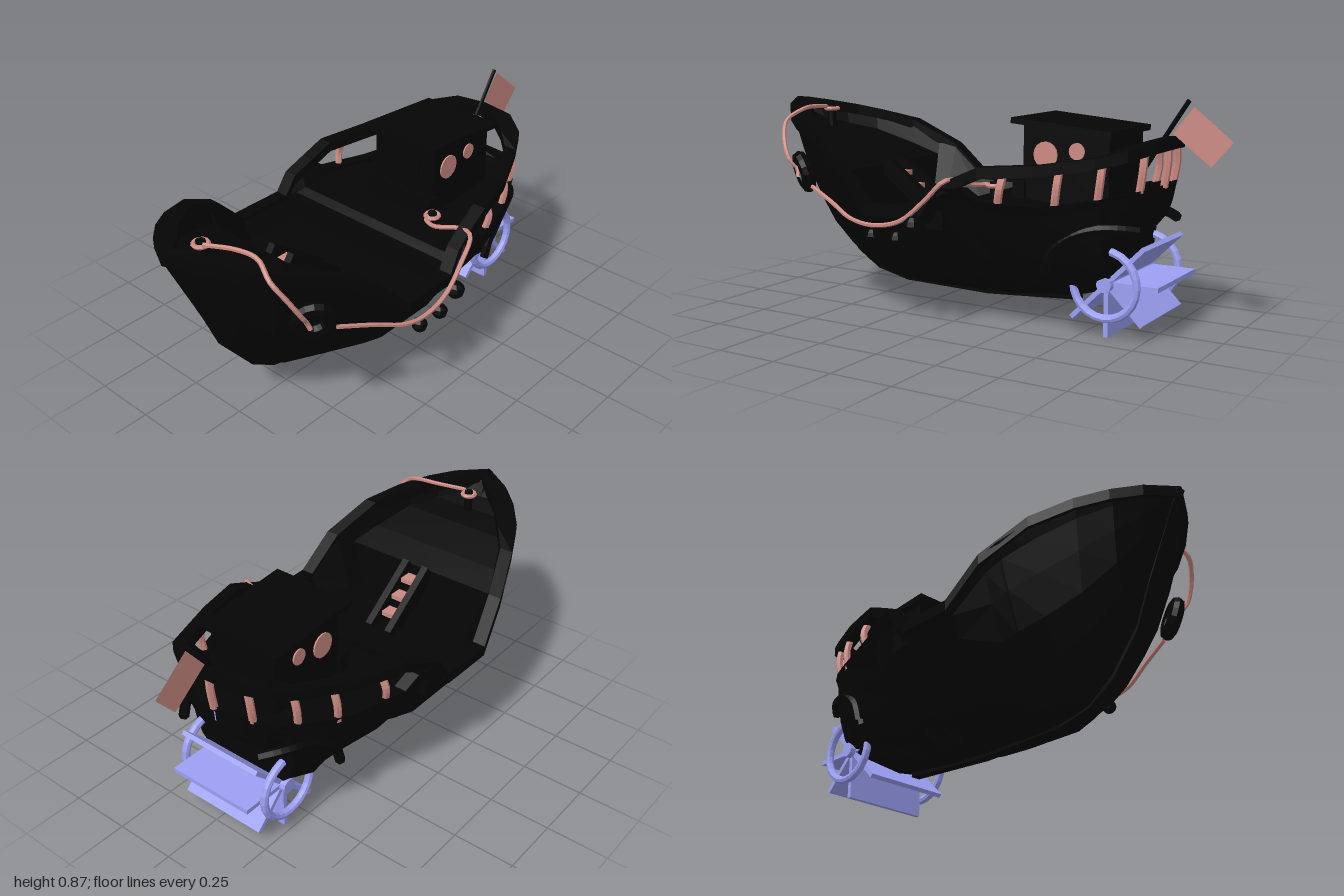
import * as THREE from 'three';

const mat = (color) => new THREE.MeshStandardMaterial({ color, flatShading: true, side: THREE.DoubleSide });
const V = (x, y, z) => new THREE.Vector3(x, y, z);
const lerp = THREE.MathUtils.lerp;

// Skin a list of equal-length cross-section loops
function loft(rings, closed = false) {
  const n = rings[0].length, pos = [], idx = [];
  rings.forEach((r) => r.forEach((p) => pos.push(p.x, p.y, p.z)));
  const spans = closed ? rings.length : rings.length - 1;
  for (let i = 0; i < spans; i++) {
    for (let j = 0; j < n; j++) {
      const a = i * n + j, b = i * n + (j + 1) % n;
      const k = ((i + 1) % rings.length) * n;
      const c = k + j, d = k + (j + 1) % n;
      idx.push(a, b, c, b, d, c);
    }
  }
  const g = new THREE.BufferGeometry();
  g.setAttribute('position', new THREE.Float32BufferAttribute(pos, 3));
  g.setIndex(idx);
  g.computeVertexNormals();
  return g;
}

// Hull stations: top z, top y, half width, keel z, keel y, deck y, fullness power (lower is fuller)
const stations = [
  [1, 0.81, 0.004, 0.99, 0.78, 0.79],
  [0.93, 0.795, 0.12, 0.85, 0.5, 0.73],
  [0.85, 0.77, 0.21, 0.78, 0.33, 0.7],
  [0.75, 0.74, 0.295, 0.66, 0.18, 0.67],
  [0.6, 0.69, 0.37, 0.55, 0.1, 0.61],
  [0.49, 0.635, 0.42, 0.47, 0.08, 0.56],
  [0.48, 0.63, 0.422, 0.46, 0.078, 0.38],
  [0.42, 0.595, 0.438, 0.4, 0.068, 0.38],
  [0.28, 0.455, 0.467, 0.28, 0.065, 0.38],
  [0.01, 0.455, 0.465, 0.01, 0.065, 0.38],
  [0, 0.46, 0.465, 0, 0.065, 0.45],
  [-0.05, 0.55, 0.46, -0.05, 0.067, 0.48],
  [-0.14, 0.555, 0.45, -0.14, 0.07, 0.49],
  [-0.2, 0.51, 0.435, -0.2, 0.075, 0.49],
  [-0.4, 0.5, 0.375, -0.4, 0.1, 0.48, 0.8],
  [-0.5, 0.51, 0.335, -0.5, 0.13, 0.49, 0.45],
  [-0.61, 0.53, 0.28, -0.615, 0.16, 0.5, 0.38],
  [-0.63, 0.535, 0.265, -0.63, 0.35, 0.5, 0.42],
  [-0.7, 0.55, 0.22, -0.67, 0.37, 0.51, 0.45],
  [-0.735, 0.56, 0.15, -0.72, 0.42, 0.52, 0.5],
  [-0.745, 0.56, 0.004, -0.735, 0.43, 0.54],
];
const rows = [[0, 0.0], [0.08, 0.22], [0.24, 0.5], [0.45, 0.71], [0.7, 0.84], [0.9, 0.93], [1, 1]];
const bulge = (t) => {
  const i = Math.max(1, rows.findIndex((r) => r[0] >= t));
  const [a, b] = [rows[i - 1], rows[i]];
  return lerp(a[1], b[1], (t - a[0]) / (b[0] - a[0]));
};

function hullRing([zt, yt, w, zb, yb, deck, full = 1]) {
  const half = rows.map(([t, f]) => V(w * f ** full, lerp(yb, yt, t), lerp(zb, zt, t)));
  const t = (deck - yb) / (yt - yb);
  const z = lerp(zb, zt, t);
  half.push(V(Math.max(w - 0.05, 0.001), yt, zt));
  half.push(V(Math.max(w * bulge(t) ** full - 0.035, 0.001), deck, z), V(0, deck, z));
  const other = half.slice(1, -1).reverse().map((p) => V(-p.x, p.y, p.z));
  return [...half, ...other];
}

export function createModel() {
  const root = new THREE.Group();
  root.name = 'paddleBoat';
  const boat = new THREE.Group();
  boat.name = 'boat';
  boat.position.x = -0.03;
  root.add(boat);
  const black = mat(0x050505), salmon = mat(0xcc8a82), blue = mat(0x9ca0f4);
  const add = (name, geo, material, pos = [0, 0, 0], parent = boat) => {
    const m = new THREE.Mesh(geo, material);
    m.name = name;
    m.position.set(...pos);
    parent.add(m);
    return m;
  };
  const box = (name, x, y, z, pos, m = black, parent = boat) => add(name, new THREE.BoxGeometry(x, y, z), m, pos, parent);
  const tube = (name, pts, r, m, parent = boat, seg = 8) =>
    add(name, new THREE.TubeGeometry(new THREE.CatmullRomCurve3(pts), seg, r, 6), m, [0, 0, 0], parent);
  const outline = (pts) => new THREE.Shape(pts.map((p) => new THREE.Vector2(...p)));

  // Hull with stepped decks
  add('hull', loft(stations.map(hullRing)), black);

  // Keel and stem
  const keel = outline([
    [1, 0.815], [0.85, 0.49], [0.78, 0.32], [0.66, 0.17], [0.55, 0.1], [0.4, 0.065], [0, 0.057], [-0.41, 0.085],
    [-0.4, 0.13], [0.4, 0.12], [0.54, 0.16], [0.65, 0.25], [0.8, 0.5], [0.94, 0.79],
  ]);
  add('keel', new THREE.ExtrudeGeometry(keel, { depth: 0.04, bevelEnabled: false }).rotateY(-Math.PI / 2), black, [0.02, 0, 0]);

  // Gunwale that sweeps up into the stern rail: half width, top y, z
  const rail = [
    [0.003, 0.822, 1], [0.13, 0.802, 0.93], [0.22, 0.78, 0.85], [0.3, 0.752, 0.75], [0.373, 0.713, 0.6],
    [0.442, 0.607, 0.42], [0.47, 0.465, 0.28], [0.467, 0.465, 0.04], [0.46, 0.545, -0.01], [0.446, 0.59, -0.1],
    [0.435, 0.635, -0.2], [0.38, 0.648, -0.4], [0.29, 0.678, -0.6], [0.235, 0.705, -0.7], [0.14, 0.73, -0.765], [0.003, 0.735, -0.78],
  ];
  const loop = [...rail.map((p) => V(...p)), ...rail.map(([x, y, z]) => V(-x, y, z)).reverse()];
  const railRings = loop.map((p) => {
    const s = Math.sign(p.x), end = Math.abs(p.x) < 0.01;
    const inX = end ? p.x : s * (Math.abs(p.x) - 0.055);
    const inZ = p.z > 0.7 ? p.z - 0.06 : p.z < -0.65 ? p.z + 0.05 : p.z;
    return [V(p.x, p.y, p.z), V(p.x, p.y - 0.042, p.z), V(inX, p.y - 0.042, inZ), V(inX, p.y, inZ)];
  });
  add('gunwaleAndRail', loft(railRings, true), black);

  // Rail posts: x, foot y, z, top y
  const post = (x, y, z, top) => tube('railPost', [V(x, y, z), V(x * 1.02, (y + top) / 2, z - 0.012), V(x * 0.96, top, z - 0.015)], 0.015, salmon);
  for (const s of [1, -1]) {
    post(s * 0.395, 0.5, -0.265, 0.61);
    post(s * 0.33, 0.485, -0.46, 0.64);
    post(s * 0.265, 0.52, -0.6, 0.67);
    post(s * 0.16, 0.55, -0.715, 0.7);
  }
  post(0, 0.55, -0.742, 0.71);

  // Cross beam at the break of the aft deck
  box('deckBeam', 0.86, 0.07, 0.08, [0, 0.425, -0.01]);

  // Cabin with sloped roof, front bench and round windows
  const wall = outline([[-0.235, 0.46], [-0.59, 0.46], [-0.59, 0.75], [-0.235, 0.775]]);
  add('cabin', new THREE.ExtrudeGeometry(wall, { depth: 0.3, bevelEnabled: false }).rotateY(-Math.PI / 2), black, [0.15, 0, 0]);
  box('cabinRoof', 0.36, 0.022, 0.415, [0, 0.768, -0.402]).rotation.x = -0.085;
  box('cabinBench', 0.33, 0.08, 0.05, [0, 0.52, -0.22]);
  box('cabinPanel', 0.16, 0.13, 0.015, [0, 0.66, -0.235]);
  for (const [z, y, r] of [[-0.33, 0.66, 0.05], [-0.46, 0.68, 0.032]]) {
    add('cabinWindow', new THREE.CylinderGeometry(r, r, 0.312, 16).rotateZ(Math.PI / 2), salmon, [0, y, z]);
  }

  // Steps to the foredeck
  for (let i = 0; i < 3; i++) box('step', 0.066, 0.02, 0.055, [0, 0.42 + i * 0.05, 0.305 + i * 0.065], salmon);
  for (const s of [1, -1]) box('stairSide', 0.03, 0.07, 0.32, [s * 0.049, 0.465, 0.355]).rotation.x = -0.64;

  // Flag and pole
  tube('flagPole', [V(0, 0.56, -0.63), V(0, 0.718, -0.73), V(0, 0.872, -0.83)], 0.009, black);
  const flag = outline([[-0.85, 0.85], [-1, 0.73], [-0.92, 0.635], [-0.77, 0.75]]);
  add('flag', new THREE.ShapeGeometry(flag).rotateY(-Math.PI / 2), salmon);

  // Bollards with rope loops
  for (const [x, y, z] of [[-0.015, 0.745, 0.82], [0.22, 0.51, -0.15]]) {
    add('bollard', new THREE.CylinderGeometry(0.018, 0.018, 0.09, 8), black, [x, y, z]);
    add('ropeLoop', new THREE.TorusGeometry(0.027, 0.009, 6, 12).rotateX(Math.PI / 2), salmon, [x, y + 0.03, z]);
  }

  // Mooring rope over the bow, sagging along the left side to the aft deck
  tube('bowRope', [V(-0.02, 0.785, 0.83), V(0.1, 0.795, 0.785), V(0.19, 0.792, 0.775), V(0.27, 0.75, 0.8), V(0.32, 0.685, 0.775),
    V(0.345, 0.6, 0.73), V(0.33, 0.56, 0.7), V(0.34, 0.53, 0.69)], 0.009, salmon, root, 28);
  tube('sideRope', [V(0.37, 0.5, 0.59), V(0.42, 0.455, 0.45), V(0.46, 0.41, 0.33), V(0.468, 0.395, 0.22), V(0.462, 0.42, 0.1),
    V(0.45, 0.5, 0), V(0.43, 0.58, -0.08), V(0.36, 0.575, -0.1), V(0.25, 0.545, -0.085), V(0.185, 0.54, -0.115), V(0.18, 0.54, -0.15)], 0.009, salmon, root, 44);

  // Tyre fender on the bow
  const tyre = add('tyreFender', new THREE.TorusGeometry(0.06, 0.028, 8, 16), black, [0.33, 0.55, 0.665], root);
  tyre.lookAt(1.33, 0.2, 1.415);

  // Ball fenders
  for (const [x, y, z, r] of [[0.462, 0.41, 0.04, 0.036], [0.452, 0.35, 0.12, 0.031], [0.45, 0.35, 0.235, 0.03]]) {
    add('ballFender', new THREE.SphereGeometry(r, 8, 6), black, [x, y, z], root);
  }

  // Paddle wheel
  const wheel = new THREE.Group();
  wheel.name = 'paddleWheel';
  wheel.position.set(-0.005, 0.205, -0.6);
  boat.add(wheel);
  add('axle', new THREE.CylinderGeometry(0.03, 0.03, 0.42, 10).rotateZ(Math.PI / 2), blue, [0, 0, 0], wheel);
  for (let i = 0; i < 8; i++) {
    const arm = new THREE.Group();
    arm.name = 'paddleArm';
    arm.rotation.x = i * Math.PI / 4;
    wheel.add(arm);
    box('paddle', 0.37, 0.18, 0.018, [0, 0.112, 0], blue, arm);
  }
  for (const s of [1, -1]) {
    add('wheelRing', new THREE.TorusGeometry(0.127, 0.016, 8, 24).rotateY(Math.PI / 2), blue, [s * 0.2, 0, 0], wheel);
    // Arched guard hugging the hull above the wheel
    const guard = [[0.3, 0.25, -0.41], [0.3, 0.33, -0.44], [0.293, 0.385, -0.5], [0.27, 0.415, -0.58], [0.235, 0.42, -0.66], [0.185, 0.41, -0.725]];
    tube('wheelGuard', guard.map(([x, y, z]) => V(s * x, y, z)), 0.02, black, boat, 16);
  }
  return root;
}
